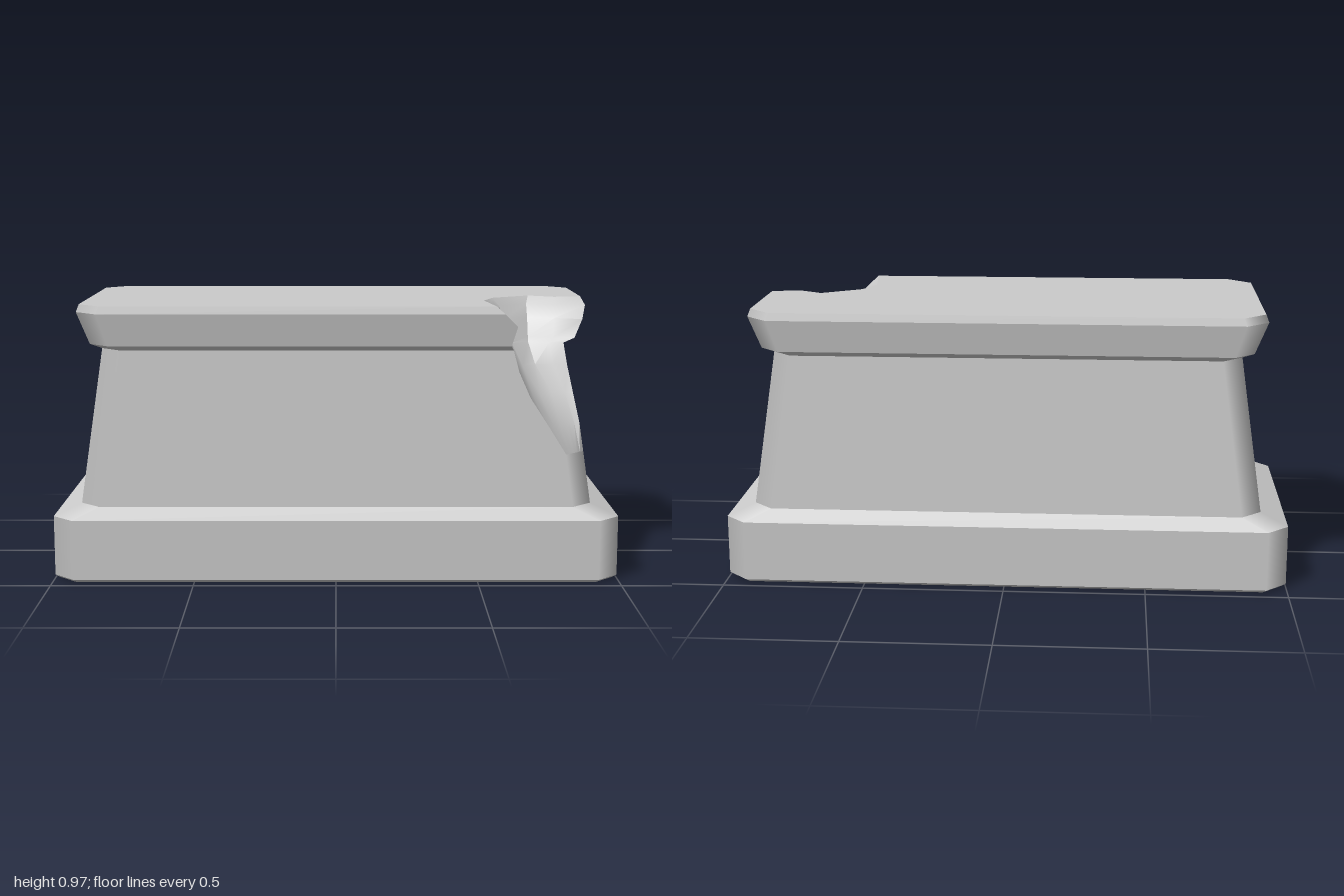
import * as THREE from 'three';
import { toCreasedNormals } from 'three/addons/utils/BufferGeometryUtils.js';

// Outline levels: [y, half width, half depth, corner chamfer]
const PROFILE = [
  [0, 0.985, 0.452, 0.07], [0.012, 1, 0.468, 0.075], [0.225, 1, 0.468, 0.075],
  [0.265, 0.905, 0.422, 0.07], [0.815, 0.825, 0.385, 0.07], [0.832, 0.865, 0.405, 0.07],
  [0.945, 0.91, 0.425, 0.08], [0.972, 0.9, 0.418, 0.08],
];

// Broken corner: y, x where it leaves the front face, z where it leaves the
// side face, then plan points [x, z] along the hollow between them
const BREAK = [
  [0.55, 0.745, 0.33, [[0.765, 0.382], [0.79, 0.36], [0.82, 0.343], [0.845, 0.332]]],
  [0.65, 0.68, 0.25, [[0.695, 0.35], [0.725, 0.295], [0.77, 0.262], [0.82, 0.25]]],
  [0.74, 0.64, 0.18, [[0.645, 0.31], [0.67, 0.225], [0.72, 0.185], [0.785, 0.185]]],
  [0.815, 0.62, 0.155, [[0.615, 0.27], [0.635, 0.17], [0.7, 0.125], [0.775, 0.145]]],
  [0.832, 0.61, 0.15, [[0.605, 0.26], [0.63, 0.16], [0.7, 0.115], [0.79, 0.135]]],
  [0.9, 0.63, 0.15, [[0.585, 0.24], [0.61, 0.14], [0.7, 0.08], [0.795, 0.115]]],
  [0.945, 0.585, 0.085, [[0.56, 0.22], [0.592, 0.115], [0.7, 0.04], [0.8, 0.085]]],
  [0.972, 0.555, 0.03, [[0.53, 0.2], [0.57, 0.095], [0.71, 0], [0.8, 0.055]]],
];
const TIP = 0.45;

// Half sizes and chamfer at any height
function sizeAt(y) {
  const k = Math.max(1, PROFILE.findIndex((p) => p[0] >= y));
  const [p, q] = [PROFILE[k - 1], PROFILE[k]];
  const t = (y - p[0]) / (q[0] - p[0]);
  return [1, 2, 3].map((n) => THREE.MathUtils.lerp(p[n], q[n], t));
}

// Eight-point outline, running side, back, side, front; ends sit on the break
function outline(y) {
  const [w, d, c] = sizeAt(y);
  const cut = BREAK.find((b) => b[0] === y);
  const front = cut ? cut[1] : w - c;
  const side = cut ? cut[2] : d - c;
  return [[w, side], [w, c - d], [w - c, -d], [c - w, -d], [-w, c - d], [-w, d - c], [c - w, d], [front, d]]
    .map(([x, z]) => new THREE.Vector3(x, y, z));
}

// Hollow from the front face to the side face
function hollow(y) {
  const ring = outline(y);
  const [a, b] = [ring[7], ring[0]];
  const cut = BREAK.find((r) => r[0] === y);
  const inner = cut
    ? cut[3].map(([x, z]) => new THREE.Vector3(x, y, z))
    : [0.2, 0.4, 0.6, 0.8].map((t) => a.clone().lerp(b, t));
  return [a, ...inner, b];
}

function toGeometry(points, normals) {
  const g = new THREE.BufferGeometry().setFromPoints(points);
  if (normals) g.setAttribute('normal', new THREE.Float32BufferAttribute(normals.flatMap((n) => n.toArray()), 3));
  else g.computeVertexNormals();
  return g;
}

// Walls between outlines, with chamfers shaded as rounded corners
function wallGeometry(levels) {
  const points = [], normals = [];
  for (let l = 0; l < levels.length - 1; l++) {
    const lo = outline(levels[l]), hi = outline(levels[l + 1]);
    const faceNormal = lo.map((p, i) => new THREE.Vector3()
      .crossVectors(lo[(i + 1) % 8].clone().sub(p), hi[i].clone().sub(p)).normalize());
    for (let i = 0; i < 8; i++) {
      if (i === 7 && levels[l] >= TIP) continue; // open where the corner is broken
      const j = (i + 1) % 8;
      const n0 = faceNormal[i % 2 ? i - 1 : i], n1 = faceNormal[i % 2 ? j : i];
      points.push(lo[i], lo[j], hi[j], lo[i], hi[j], hi[i]);
      normals.push(n0, n1, n1, n0, n1, n0);
    }
  }
  return toGeometry(points, normals);
}

function breakGeometry(levels) {
  const points = [];
  for (let l = 0; l < levels.length - 1; l++) {
    const lo = hollow(levels[l]), hi = hollow(levels[l + 1]);
    for (let i = 0; i < lo.length - 1; i++) {
      points.push(lo[i], lo[i + 1], hi[i + 1], lo[i], hi[i + 1], hi[i]);
    }
  }
  return toCreasedNormals(toGeometry(points), 0.6);
}

// Flat face filling an outline
function capGeometry(ring, up) {
  const tris = THREE.ShapeUtils.triangulateShape(ring.map((p) => new THREE.Vector2(p.x, -p.z)), []);
  return toGeometry(tris.flatMap(([a, b, c]) => (up ? [a, b, c] : [a, c, b]).map((i) => ring[i])));
}

export function createModel() {
  const group = new THREE.Group();
  group.name = 'brokenPedestal';
  const material = new THREE.MeshStandardMaterial({ color: 0xcccccc });
  const add = (name, geometry) => {
    const mesh = new THREE.Mesh(geometry, material);
    mesh.name = name;
    group.add(mesh);
  };

  const upper = [TIP, ...BREAK.map((b) => b[0])];
  const top = upper[upper.length - 1];
  add('plinth', wallGeometry([0, 0.012, 0.225, 0.265]));
  add('shaft', wallGeometry([0.265, ...upper.filter((y) => y <= 0.815)]));
  add('rim', wallGeometry(upper.filter((y) => y >= 0.815)));
  add('brokenCorner', breakGeometry(upper));
  add('topFace', capGeometry([...outline(top), ...hollow(top).slice(1, -1)], true));
  add('underside', capGeometry(outline(0), false));
  return group;
}
